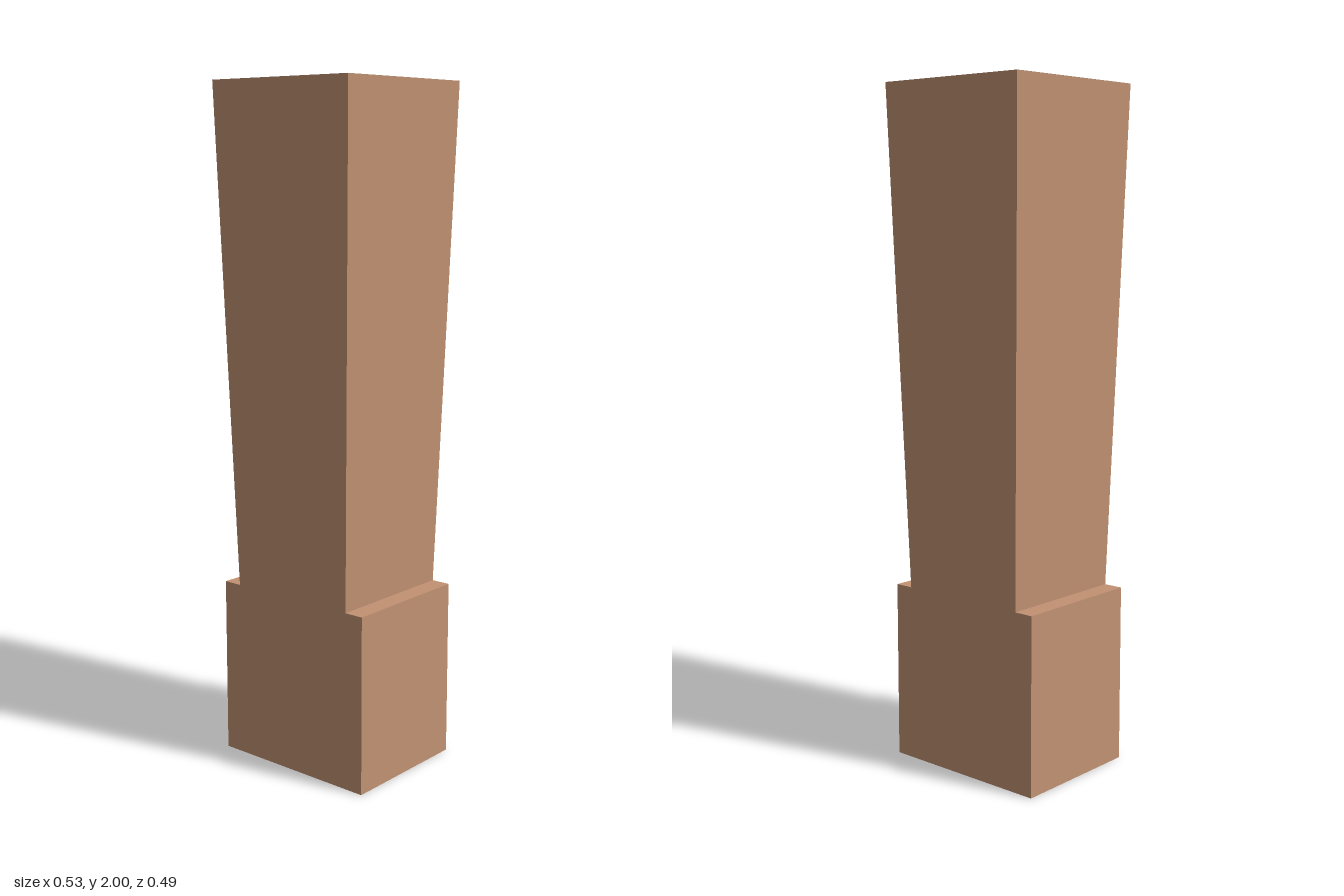
import * as THREE from 'three';

const BASE = { width: 0.53, height: 0.53, depth: 0.412 };
const SHAFT = { bottom: 0.412, top: 0.494, height: 1.47 };

// Square post that widens from bottom to top
function taperedPost({ bottom, top, height }) {
  const geometry = new THREE.BoxGeometry(bottom, height, bottom);
  const pos = geometry.attributes.position;
  for (let i = 0; i < pos.count; i++) {
    if (pos.getY(i) > 0) {
      pos.setX(i, pos.getX(i) * top / bottom);
      pos.setZ(i, pos.getZ(i) * top / bottom);
    }
  }
  geometry.computeVertexNormals();
  return geometry;
}

export function createModel() {
  const wood = new THREE.MeshStandardMaterial({ color: 0xc29272 });
  wood.name = 'lightBrown';

  const model = new THREE.Group();
  model.name = 'taperedLeg';

  // Block foot, wider from side to side
  const foot = new THREE.Mesh(new THREE.BoxGeometry(BASE.width, BASE.height, BASE.depth), wood);
  foot.name = 'foot';
  foot.position.y = BASE.height / 2;

  // Tapered shaft standing on the foot
  const shaft = new THREE.Mesh(taperedPost(SHAFT), wood);
  shaft.name = 'shaft';
  shaft.position.y = BASE.height + SHAFT.height / 2;

  model.add(foot, shaft);
  return model;
}
